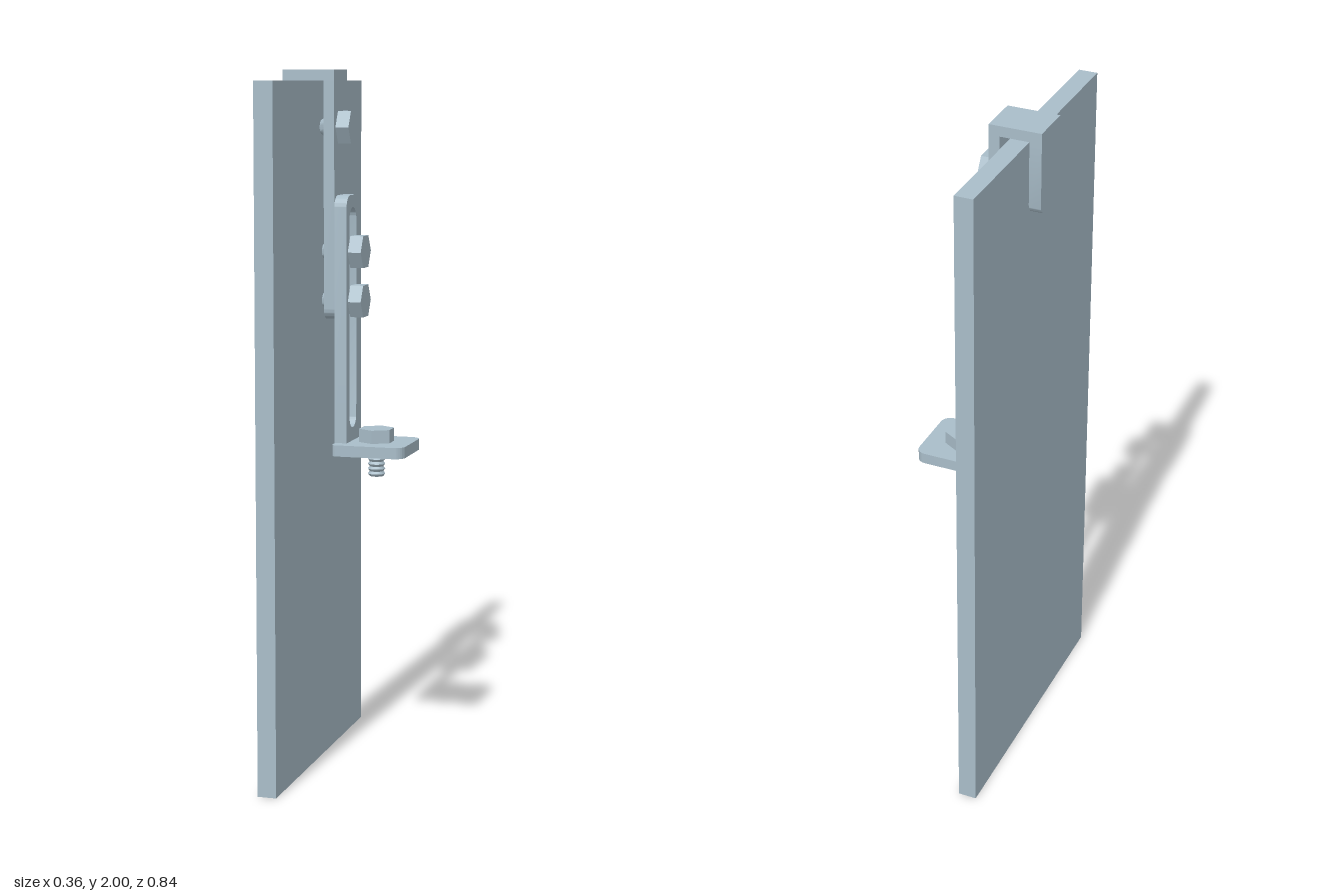
import * as THREE from 'three';
import { toCreasedNormals } from 'three/addons/utils/BufferGeometryUtils.js';

const steel = new THREE.MeshStandardMaterial({ color: 0xa9bdc9 });
steel.name = 'blue grey steel';

function add(parent, geometry, name) {
  const mesh = new THREE.Mesh(toCreasedNormals(geometry, 0.6), steel);
  mesh.name = name;
  parent.add(mesh);
  return mesh;
}

// Rectangle outline; radii run bottom left, bottom right, top right, top left
function outline(Type, x0, x1, y0, y1, [bl, br, tr, tl]) {
  const path = new Type();
  const corner = (x, y, sx, sy, r, start) => {
    if (r > 0) path.absarc(x - sx * r, y - sy * r, r, start, start + Math.PI / 2, false);
    else path.lineTo(x, y);
  };
  path.moveTo(x0 + bl, y0);
  corner(x1, y0, 1, -1, br, -Math.PI / 2);
  corner(x1, y1, 1, 1, tr, 0);
  corner(x0, y1, -1, 1, tl, Math.PI / 2);
  if (bl > 0) corner(x0, y0, -1, -1, bl, Math.PI);
  else path.lineTo(x0, y0);
  return path;
}

// Upright strip, extruded along x from x0 to x1
function strip(shape, x0, x1) {
  const g = new THREE.ExtrudeGeometry(shape, { depth: x1 - x0, bevelEnabled: false, curveSegments: 10 });
  return g.rotateY(Math.PI / 2).translate(x0, 0, 0);
}

function box(x0, x1, y0, y1, halfZ) {
  return new THREE.BoxGeometry(x1 - x0, y1 - y0, halfZ * 2)
    .translate((x0 + x1) / 2, (y0 + y1) / 2, 0);
}

// Hex bolt along y, head seated on y = 0, threaded shank below
function makeBolt(name, length) {
  const bolt = new THREE.Group();
  bolt.name = name;
  const head = new THREE.CylinderGeometry(0.052, 0.052, 0.038, 6).translate(0, 0.019, 0);
  add(bolt, head, 'hexHead');
  const turns = Math.round(length / 0.014);
  const pitch = length / turns;
  const profile = [new THREE.Vector2(0, -length)];
  for (let i = 0; i < turns; i++) {
    profile.push(new THREE.Vector2(0.02, -length + i * pitch));
    profile.push(new THREE.Vector2(0.025, -length + (i + 0.5) * pitch));
  }
  profile.push(new THREE.Vector2(0.02, 0));
  add(bolt, new THREE.LatheGeometry(profile, 24), 'threadedShank');
  return bolt;
}

export function createModel() {
  const model = new THREE.Group();
  model.name = 'panelHanger';

  // Hanging panel
  add(model, box(-0.148, -0.094, 0, 1.97, 0.42), 'panel');

  // Hook over the panel edge
  const hook = new THREE.Group();
  hook.name = 'hook';
  model.add(hook);
  const w = 0.063;
  const r = 0.03;
  add(hook, box(-0.183, -0.032, 1.97, 2, w), 'hookTop');
  add(hook, strip(outline(THREE.Shape, -w, w, 1.76, 1.97, [r, r, 0, 0]), -0.183, -0.148), 'hookBackLeg');
  add(hook, strip(outline(THREE.Shape, -w, w, 1.3, 1.97, [r, r, 0, 0]), -0.063, -0.032), 'hookFrontLeg');

  // Slotted slide with its foot plate
  const bracket = new THREE.Group();
  bracket.name = 'bracket';
  model.add(bracket);
  const slide = outline(THREE.Shape, -w, w, 0.947, 1.65, [0, 0, 0.035, 0.035]);
  const s = 0.034;
  slide.holes.push(outline(THREE.Path, -s, s, 0.985, 1.615, [s, s, s, s]));
  add(bracket, strip(slide, -0.032, 0.004), 'slottedSlide');
  const foot = outline(THREE.Shape, -0.03, 0.18, -0.104, 0.104, [0.014, 0.03, 0.03, 0.014]);
  const footGeometry = new THREE.ExtrudeGeometry(foot, { depth: 0.032, bevelEnabled: false, curveSegments: 10 });
  add(bracket, footGeometry.rotateX(Math.PI / 2).translate(0, 0.947, 0), 'footPlate');

  // Side bolts: seat x, height, shank length
  [['hookBolt', -0.032, 1.84, 0.056], ['upperSlideBolt', 0.004, 1.49, 0.086], ['lowerSlideBolt', 0.004, 1.35, 0.086]]
    .forEach(([name, x, y, length]) => {
      const bolt = makeBolt(name, length);
      bolt.rotation.z = -Math.PI / 2;
      bolt.position.set(x, y, 0);
      model.add(bolt);
    });

  // Bolt through the foot plate
  const footBolt = makeBolt('footBolt', 0.1);
  footBolt.position.set(0.075, 0.947, 0);
  model.add(footBolt);

  return model;
}
